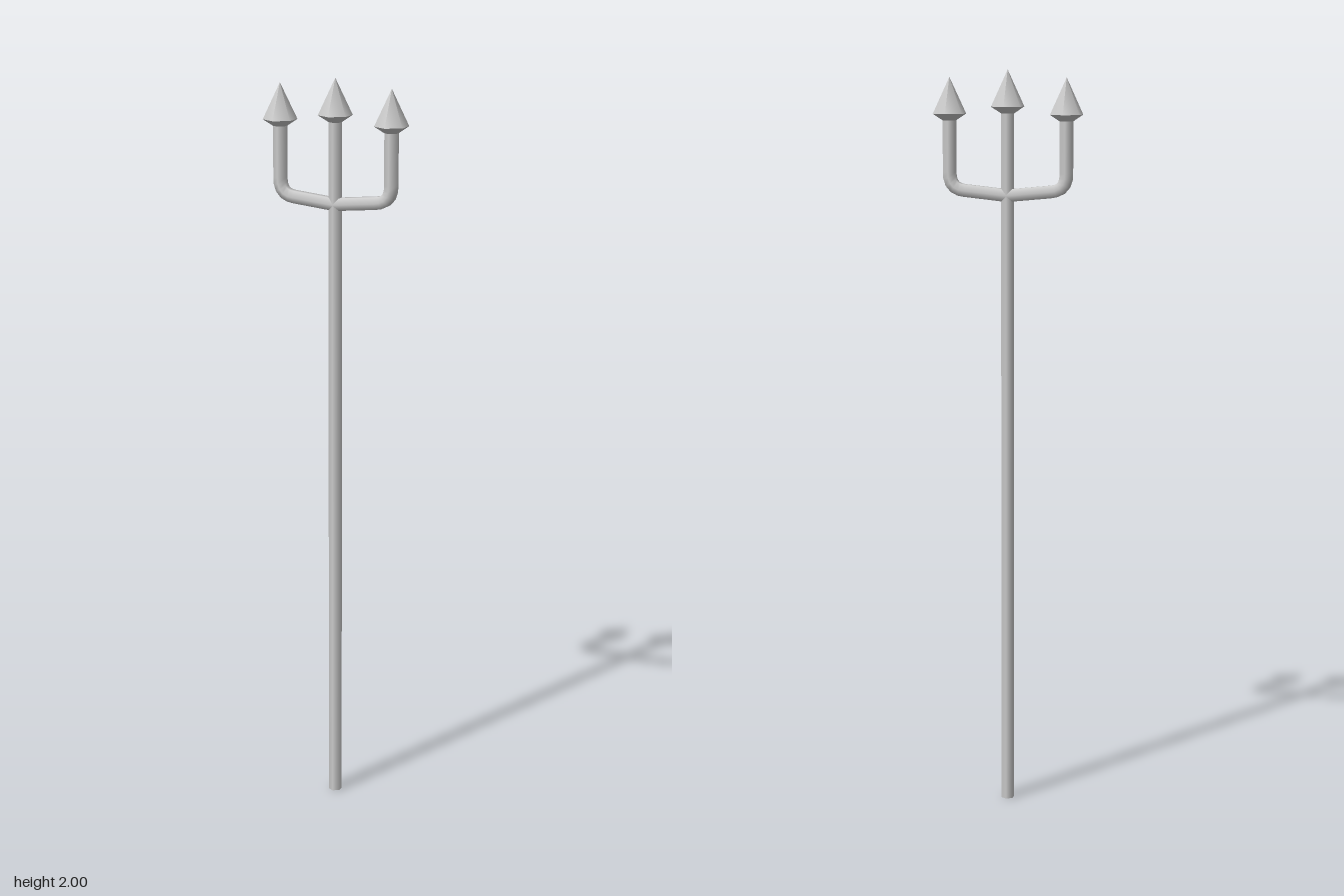
import * as THREE from 'three';

const SIDES = 6;

export function createModel() {
  const model = new THREE.Group();
  const material = new THREE.MeshStandardMaterial({ color: 0xcccccc });

  const add = (name, geometry, parent, x = 0, y = 0) => {
    const mesh = new THREE.Mesh(geometry, material);
    mesh.name = name;
    mesh.position.set(x, y, 0);
    parent.add(mesh);
  };

  // Long shaft that runs up to the middle point
  const shaftTop = 1.91;
  add('shaft', new THREE.CylinderGeometry(0.018, 0.018, shaftTop, SIDES), model, 0, shaftTop / 2);

  // Fork: one bent rod, rising slightly from the middle to each rounded corner
  const v = (x, y) => new THREE.Vector3(x, y, 0);
  const fork = new THREE.CurvePath();
  fork.add(new THREE.LineCurve3(v(-0.16, 1.89), v(-0.16, 1.725)));
  fork.add(new THREE.QuadraticBezierCurve3(v(-0.16, 1.725), v(-0.16, 1.684), v(-0.12, 1.68)));
  fork.add(new THREE.LineCurve3(v(-0.12, 1.68), v(0, 1.668)));
  fork.add(new THREE.LineCurve3(v(0, 1.668), v(0.12, 1.68)));
  fork.add(new THREE.QuadraticBezierCurve3(v(0.12, 1.68), v(0.16, 1.684), v(0.16, 1.725)));
  fork.add(new THREE.LineCurve3(v(0.16, 1.725), v(0.16, 1.89)));
  add('fork', new THREE.TubeGeometry(fork, 48, 0.019, SIDES), model);

  // Points: a six-sided cone over a shallow tapered underside
  const addPoint = (name, x, tipY) => {
    const point = new THREE.Group();
    point.name = name;
    point.position.set(x, tipY, 0);
    add('tip', new THREE.ConeGeometry(0.046, 0.097, SIDES, 1, true), point, 0, -0.0485);
    add('tipUnderside', new THREE.CylinderGeometry(0.046, 0.018, 0.018, SIDES, 1, true), point, 0, -0.106);
    model.add(point);
  };
  addPoint('middlePoint', 0, 2);
  addPoint('leftPoint', 0.16, 1.98);
  addPoint('rightPoint', -0.16, 1.98);

  return model;
}
